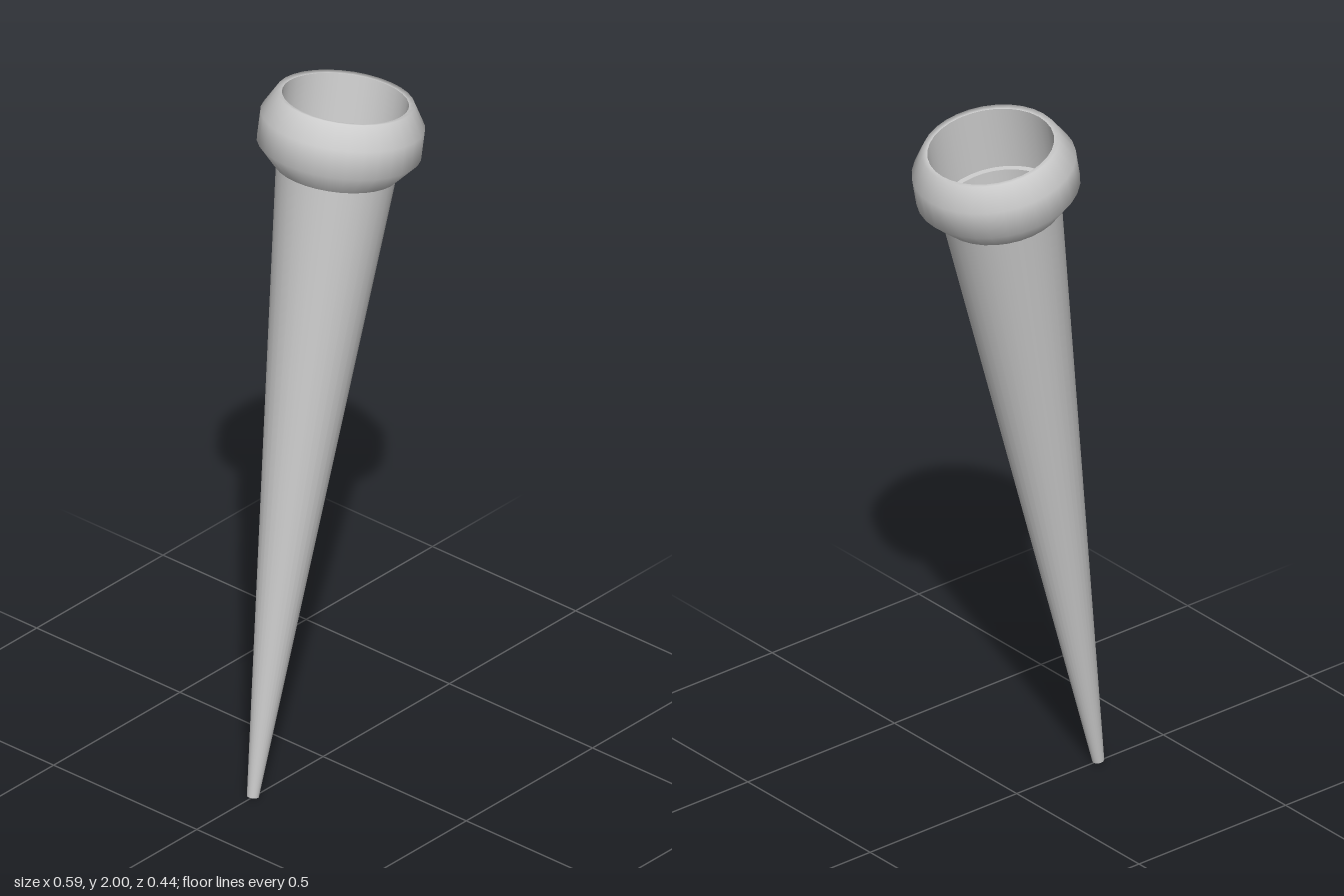
import * as THREE from 'three';

const material = new THREE.MeshStandardMaterial({ color: 0xcccccc });

// Each profile runs up the outside and down the inside; separate profiles keep sharp edges between them.
function turned(name, profiles) {
  const group = new THREE.Group();
  group.name = name;
  for (const [part, points] of Object.entries(profiles)) {
    const geometry = new THREE.LatheGeometry(points.map(([r, y]) => new THREE.Vector2(r, y)), 32);
    const mesh = new THREE.Mesh(geometry, material);
    mesh.name = part;
    group.add(mesh);
  }
  return group;
}

export function createModel() {
  const model = new THREE.Group();
  model.name = 'taperedHorn';

  const horn = new THREE.Group();
  horn.name = 'leaningHorn';

  // Long hollow cone with a closed tip
  horn.add(turned('body', {
    tipCap: [[0, 0], [0.016, 0]],
    outerWall: [[0.016, 0], [0.161, 1.81]],
    innerWall: [[0.15, 1.81], [0.006, 0.02]],
  }));

  // Bulging collar around the mouth
  horn.add(turned('collar', {
    outerBulge: [[0.166, 1.795], [0.218, 1.855], [0.218, 1.935], [0.183, 1.997], [0.168, 1.994]],
    innerWall: [[0.168, 1.994], [0.166, 1.81]],
    innerLedge: [[0.166, 1.81], [0.15, 1.81]],
    underside: [[0.15, 1.795], [0.166, 1.795]],
  }));

  // Lean towards the model's left, standing on the tip
  horn.rotation.z = -THREE.MathUtils.degToRad(10.6);
  horn.position.set(-0.278, 0.003, 0);
  model.add(horn);
  return model;
}
